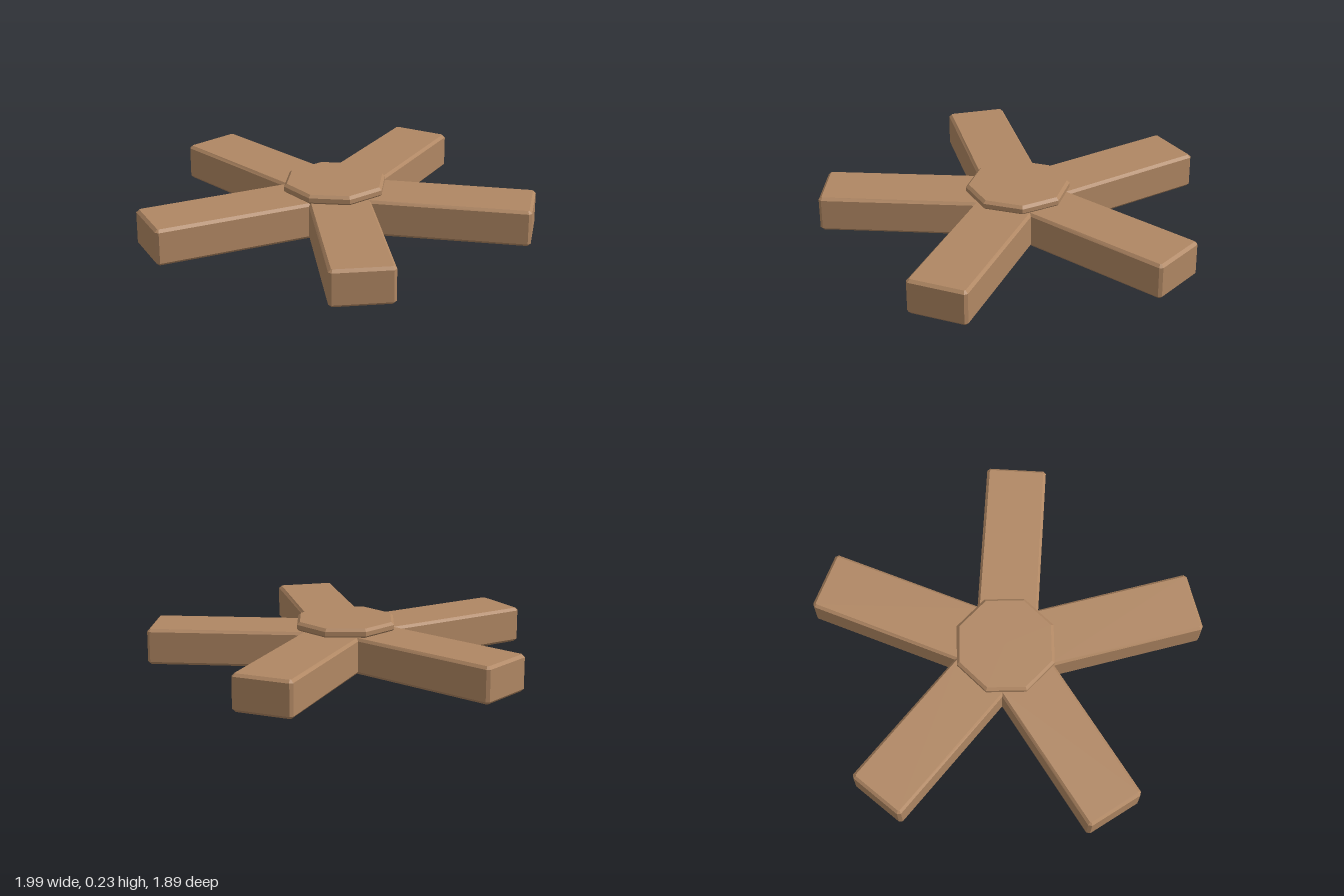
import * as THREE from 'three';

const ARMS = 5;
const LENGTH = 1.0;      // centre to arm end
const HALF_WIDTH = 0.155;
const HEIGHT = 0.185;
const CHAMFER = 0.014;
const CENTRE_Z = 0.05;

// Star outline with clipped arm corners, meeting in sharp inner notches
function starShape() {
  const c = CHAMFER, w = HALF_WIDTH, points = [];
  const notch = w / Math.tan(Math.PI / ARMS);
  for (let i = 0; i < ARMS; i++) {
    const angle = Math.PI / 2 + (i * 2 * Math.PI) / ARMS;
    const corners = [[LENGTH - c, -w], [LENGTH, c - w], [LENGTH, w - c], [LENGTH - c, w], [notch, w]];
    for (const [u, v] of corners) {
      points.push(new THREE.Vector2(u, v).rotateAround(new THREE.Vector2(), angle));
    }
  }
  return new THREE.Shape(points);
}

export function createModel() {
  const wood = new THREE.MeshStandardMaterial({ color: 0xb08763, flatShading: true });
  wood.name = 'wood brown';

  const model = new THREE.Group();
  model.name = 'starBase';

  // Five chamfered arms as one solid
  const armGeometry = new THREE.ExtrudeGeometry(starShape(), {
    depth: HEIGHT - 2 * CHAMFER,
    bevelSize: CHAMFER,
    bevelThickness: CHAMFER,
    bevelOffset: -CHAMFER,
    bevelSegments: 1,
  });
  armGeometry.translate(0, 0, CHAMFER).rotateX(-Math.PI / 2);
  const arms = new THREE.Mesh(armGeometry, wood);
  arms.name = 'arms';

  // Eight-sided chamfered hub plate
  const profile = [[0, 0.18], [0.25, 0.18], [0.265, 0.194], [0.265, 0.216], [0.25, 0.23], [0, 0.23]];
  const hubGeometry = new THREE.LatheGeometry(profile.map(([r, y]) => new THREE.Vector2(r, y)), 8);
  const hub = new THREE.Mesh(hubGeometry, wood);
  hub.name = 'hubPlate';

  model.add(arms, hub);
  for (const part of model.children) part.position.z = CENTRE_Z;
  return model;
}
